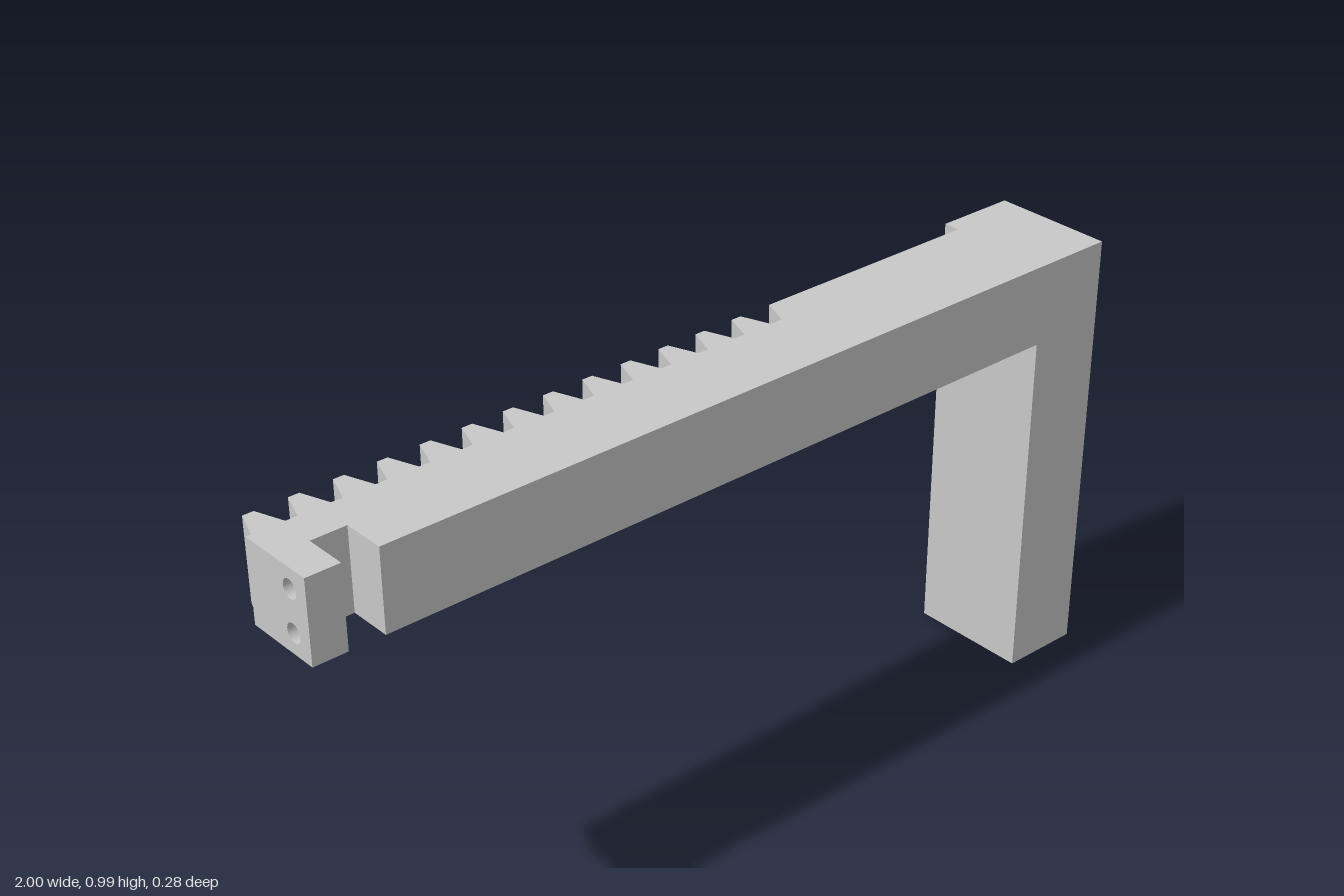
import * as THREE from 'three';

const BOTTOM = 0.805, TOP = 0.985, FRONT = 0.139;
const LEG_X = 0.817, SLOT_Z = 0.045, TAB_X = -0.925, SLOT_END = -0.847;

export function createModel() {
  const group = new THREE.Group();
  const grey = new THREE.MeshStandardMaterial({ color: 0xc8c8c8 });
  grey.name = 'light grey';
  const add = (name, geometry) => {
    const mesh = new THREE.Mesh(geometry, grey);
    mesh.name = name;
    group.add(mesh);
    return mesh;
  };

  // Toothed bar: plan outline as (x, z), running from the notch along the back
  const root = -0.038, tip = -0.102;
  const plan = [[-1, SLOT_Z], [TAB_X, SLOT_Z], [SLOT_END, SLOT_Z], [SLOT_END, FRONT],
    [1, FRONT], [1, -FRONT], [LEG_X, -FRONT], [LEG_X, tip], [0.275, tip], [0.25, root]];
  for (let i = 12; i >= 0; i--) {
    const c = -0.954 + i * 0.095;
    plan.push([c + 0.035, root], [c + 0.012, tip], [c - 0.012, tip], [c - 0.035, root]);
  }
  plan.push([-1, root]);
  const barShape = new THREE.Shape(plan.map(([x, z]) => new THREE.Vector2(x, -z)));
  const bar = new THREE.ExtrudeGeometry(barShape, { depth: TOP - BOTTOM, bevelEnabled: false });
  bar.rotateX(-Math.PI / 2);
  add('toothedBar', bar).position.y = BOTTOM;

  // End tab with two round holes along x
  const tabShape = new THREE.Shape([[-FRONT, BOTTOM], [-SLOT_Z, BOTTOM], [-SLOT_Z, TOP], [-FRONT, TOP]]
    .map(([x, y]) => new THREE.Vector2(x, y)));
  for (const y of [0.85, 0.94]) {
    tabShape.holes.push(new THREE.Path().absarc(-0.089, y, 0.02, 0, Math.PI * 2, true));
  }
  const tab = new THREE.ExtrudeGeometry(tabShape, { depth: TAB_X + 1, bevelEnabled: false, curveSegments: 24 });
  tab.rotateY(Math.PI / 2);
  add('drilledTab', tab).position.x = -1;

  // Upright leg
  const leg = add('leg', new THREE.BoxGeometry(1 - LEG_X, BOTTOM, FRONT * 2));
  leg.position.set((1 + LEG_X) / 2, BOTTOM / 2, 0);

  return group;
}
